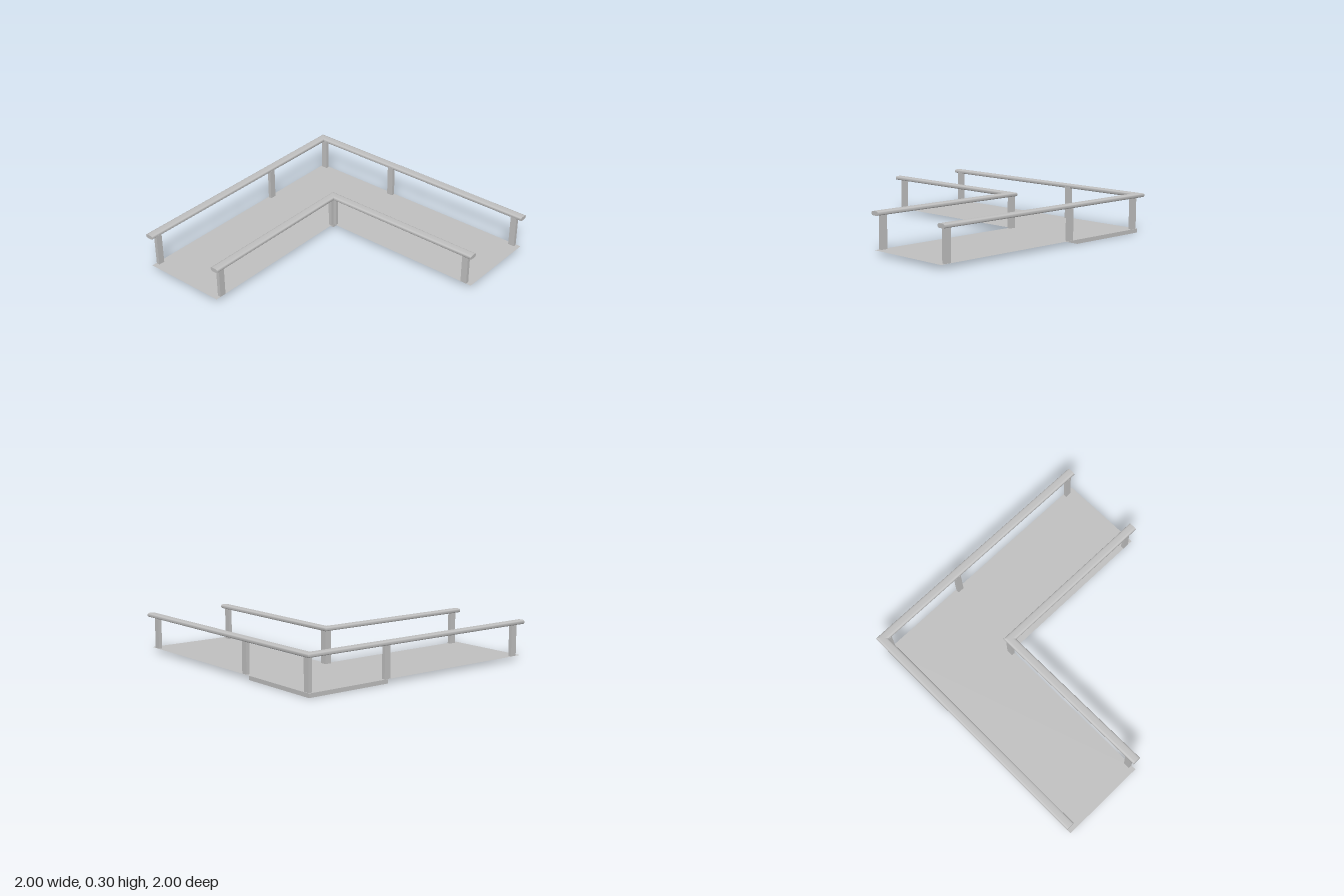
import * as THREE from 'three';
import { mergeVertices } from 'three/addons/utils/BufferGeometryUtils.js';

const FLOOR_Y = 0.03, RAIL_Y = 0.282;
const IN = 0.297, OUT = 0.965; // floor edges, mirrored on x and -z

// Rounded, flattened handrail section: [outward offset, height]
function railProfile() {
  const pts = [];
  for (let i = 0; i < 16; i++) {
    const a = (i + 0.5) / 16 * Math.PI * 2;
    const c = Math.cos(a), s = Math.sin(a);
    pts.push([0.0328 * Math.sign(c) * Math.abs(c) ** 0.55, 0.0155 * Math.sign(s) * Math.abs(s) ** 0.6]);
  }
  return pts;
}

// One straight leg of a rail between two mitred section maps
function railLeg(profile, from, to) {
  const n = profile.length, pos = [], idx = [];
  for (const map of [from, to]) for (const [d, h] of profile) pos.push(...map(d, h));
  for (let i = 0; i < n; i++) {
    const j = (i + 1) % n;
    idx.push(i, j, n + i, j, n + j, n + i);
  }
  // End caps with their own vertices
  for (const [map, flip] of [[from, true], [to, false]]) {
    const base = pos.length / 3;
    for (const [d, h] of profile) pos.push(...map(d, h));
    for (let i = 1; i < n - 1; i++) {
      idx.push(base, base + (flip ? i + 1 : i), base + (flip ? i : i + 1));
    }
  }
  const g = new THREE.BufferGeometry();
  g.setAttribute('position', new THREE.Float32BufferAttribute(pos, 3));
  g.setIndex(idx);
  g.computeVertexNormals();
  return mergeVertices(g);
}

export function createModel() {
  const model = new THREE.Group();
  model.name = 'cornerWalkway';
  const metal = new THREE.MeshStandardMaterial({ color: 0xbfbfbf, side: THREE.DoubleSide });
  metal.name = 'greyMetal';

  const add = (name, geometry, x = 0, y = 0, z = 0) => {
    const mesh = new THREE.Mesh(geometry, metal);
    mesh.name = name;
    mesh.position.set(x, y, z);
    model.add(mesh);
    return mesh;
  };

  // L-shaped floor sheet
  const outline = [[-1, OUT], [OUT, OUT], [OUT, -1], [IN, -1], [IN, IN], [-1, IN]];
  const shape = new THREE.Shape(outline.map(([x, y]) => new THREE.Vector2(x, y)));
  const floor = new THREE.ShapeGeometry(shape);
  floor.rotateX(-Math.PI / 2);
  add('floor', floor, 0, FLOOR_Y, 0);

  // Skirt hanging below the corner square
  const side = OUT - IN, mid = (OUT + IN) / 2;
  for (let i = 0; i < 4; i++) {
    const wall = new THREE.PlaneGeometry(side, FLOOR_Y);
    wall.translate(0, 0, side / 2);
    wall.rotateY(i * Math.PI / 2);
    add('cornerSkirt', wall, mid, FLOOR_Y / 2, -mid);
  }

  // Handrails, each two legs meeting at a mitre
  const profile = railProfile();
  for (const [name, c] of [['outerRail', 0.967], ['innerRail', 0.302]]) {
    const start = (d, h) => [-1, RAIL_Y + h, -c - d];
    const corner = (d, h) => [c + d, RAIL_Y + h, -c - d];
    const end = (d, h) => [c + d, RAIL_Y + h, 1];
    add(name + 'BackLeg', railLeg(profile, start, corner));
    add(name + 'SideLeg', railLeg(profile, corner, end));
  }

  // Flat posts, wide along their rail
  const height = RAIL_Y - FLOOR_Y - 0.005, wide = 0.05, thin = 0.027;
  const post = (x, z, alongX) => add('post',
    new THREE.BoxGeometry(alongX ? wide : thin, height, alongX ? thin : wide),
    x, FLOOR_Y + height / 2, z);
  for (const x of [-0.935, 0.297]) post(x, -0.947, true);
  for (const z of [-0.93, -0.233, 0.935]) post(0.947, z, false);
  post(-0.935, -0.31, true);
  post(0.297, -0.31, true);
  post(0.31, -0.297, false);
  post(0.31, 0.935, false);

  return model;
}
